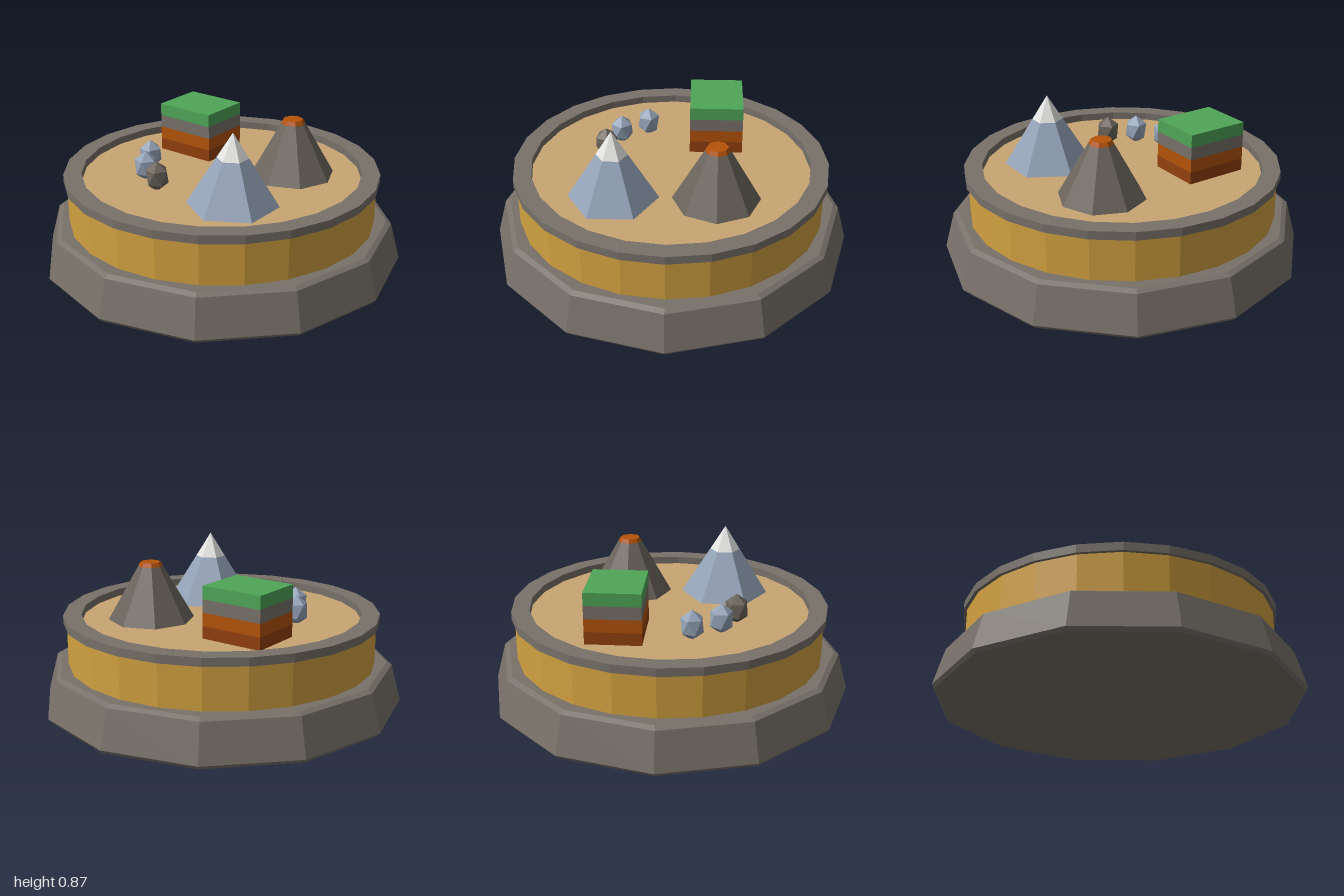
import * as THREE from 'three';

const mat = (name, color) => new THREE.MeshStandardMaterial({ name, color });

// Facet a geometry so every face has its own normal
function faceted(geometry) {
  const g = geometry.index ? geometry.toNonIndexed() : geometry;
  g.computeVertexNormals();
  return g;
}

export function createModel() {
  const stone = mat('stone', 0x78716a);
  const gold = mat('gold', 0xd2a140);
  const sand = mat('sand', 0xc8a472);
  const slate = mat('slate', 0x94a3b8);
  const snow = mat('snow', 0xe5e5e3);
  const basalt = mat('basalt', 0x6b645c);
  const lava = mat('lava', 0xb45309);
  const soil = mat('soil', 0x92400e);
  const grass = mat('grass', 0x50a557);

  const model = new THREE.Group();
  model.name = 'landformTray';

  function add(name, geometry, material, x = 0, y = 0, z = 0) {
    const mesh = new THREE.Mesh(faceted(geometry), material);
    mesh.name = name;
    mesh.position.set(x, y, z);
    model.add(mesh);
    return mesh;
  }
  const lathe = (points, sides) =>
    new THREE.LatheGeometry(points.map(([r, y]) => new THREE.Vector2(r, y)), sides);
  const floor = 0.468;

  // Twelve-sided bevelled plinth
  add('plinth', lathe([[0, 0], [0.985, 0], [1, 0.02], [0.945, 0.223], [0.918, 0.238], [0, 0.238]], 12), stone);

  // Drum, sand bed and raised rim
  add('drum', lathe([[0.85, 0.238], [0.85, floor]], 24), gold);
  const bed = new THREE.CircleGeometry(0.8, 24);
  bed.rotateX(-Math.PI / 2);
  add('sandBed', bed, sand, 0, floor + 0.003, 0);
  add('rim', lathe([[0.77, floor], [0.868, floor], [0.868, 0.513], [0.77, 0.513], [0.77, floor]], 24), stone);

  // Snow-capped mountain
  const [mx, mz, snowLine, peak] = [0.297, 0.295, 0.73, 0.865];
  const snowRadius = 0.245 * (peak - snowLine) / (peak - floor);
  add('mountain', lathe([[0.245, floor], [snowRadius, snowLine]], 6), slate, mx, 0, mz);
  add('snowCap', lathe([[snowRadius, snowLine], [0, peak]], 6), snow, mx, 0, mz);

  // Volcano with a lava plug
  add('volcano', lathe([[0.237, floor], [0.067, 0.765]], 8), basalt, 0.297, 0, -0.25);
  add('lavaPlug', lathe([[0.067, 0.765], [0.055, 0.787], [0, 0.787]], 8), lava, 0.297, 0, -0.25);

  // Ground-layer block, bottom to top
  const layerHeight = (0.75 - floor) / 4;
  [['deepSoilLayer', soil], ['claylayer', lava], ['stoneLayer', stone], ['grassLayer', grass]]
    .forEach(([name, material], i) => {
      add(name, new THREE.BoxGeometry(0.354, layerHeight, 0.296), material,
        -0.347, floor + layerHeight * (i + 0.5), -0.248);
    });

  // Upright faceted rocks
  [[-0.395, 0.145, slate, 0.3], [-0.298, 0.293, slate, 0], [-0.15, 0.37, basalt, 0.15]]
    .forEach(([x, z, material, turn], i) => {
      const rock = new THREE.IcosahedronGeometry(0.068, 0);
      rock.rotateZ(-Math.atan(2 / (1 + Math.sqrt(5))));
      rock.scale(1, 1.25, 1);
      rock.rotateY(turn);
      add('rock' + (i + 1), rock, material, x, 0.54, z);
    });

  return model;
}
